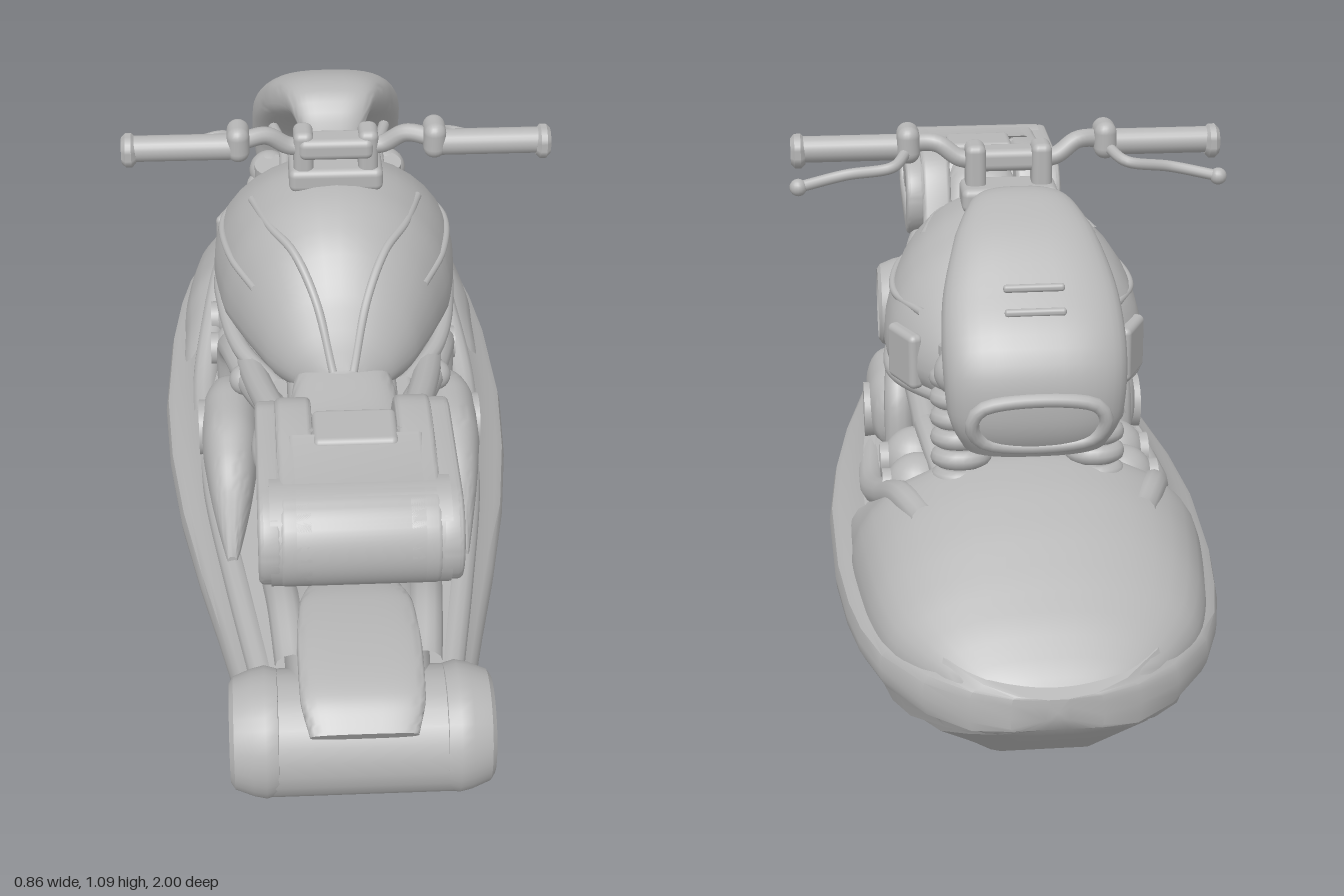
import * as THREE from 'three';
import { toCreasedNormals } from 'three/addons/utils/BufferGeometryUtils.js';
import { RoundedBoxGeometry } from 'three/addons/geometries/RoundedBoxGeometry.js';

const V = (x, y, z) => new THREE.Vector3(x, y, z);
const grey = new THREE.MeshStandardMaterial({ color: 0xb6b6b6 });
grey.name = 'plain grey';

// Skin a list of equal rings, close both ends, and keep sharp edges
function loft(rings, crease = 0.6) {
  const n = rings[0].length, pos = [], idx = [];
  rings.forEach(r => r.forEach(p => pos.push(p.x, p.y, p.z)));
  for (let i = 0; i < rings.length - 1; i++) for (let j = 0; j < n; j++) {
    const a = i * n + j, b = i * n + (j + 1) % n;
    idx.push(a, b, b + n, a, b + n, a + n);
  }
  [0, rings.length - 1].forEach((k, end) => {
    const c = rings[k].reduce((s, p) => s.add(p), V(0, 0, 0)).divideScalar(n);
    const m = pos.length / 3;
    pos.push(c.x, c.y, c.z);
    for (let j = 0; j < n; j++) {
      const a = k * n + j, b = k * n + (j + 1) % n;
      if (end) idx.push(m, a, b); else idx.push(m, b, a);
    }
  });
  // Turn the faces outward if the signed volume is negative
  let vol = 0;
  const at = i => V(pos[i * 3], pos[i * 3 + 1], pos[i * 3 + 2]);
  for (let i = 0; i < idx.length; i += 3) vol += at(idx[i]).dot(at(idx[i + 1]).cross(at(idx[i + 2])));
  if (vol < 0) idx.reverse();
  const g = new THREE.BufferGeometry();
  g.setAttribute('position', new THREE.Float32BufferAttribute(pos, 3));
  g.setIndex(idx);
  return toCreasedNormals(g, crease);
}

// Rounded body along rows of [z, y, half width, height above, height below (same if left out)]
function sweep(rows, { power = 2, upright = true, x = 0, n = 36, seg = 36 } = {}) {
  const path = new THREE.CatmullRomCurve3(rows.map(r => V(x, r[1], r[0])));
  const size = new THREE.CatmullRomCurve3(rows.map(r => V(r[2], r[3], r[4] ?? r[3])));
  const round = v => Math.sign(v) * Math.abs(v) ** (2 / power);
  const rings = [];
  for (let i = 0; i <= n; i++) {
    const p = path.getPoint(i / n), s = size.getPoint(i / n), t = path.getTangent(i / n);
    const up = upright ? V(0, 1, 0) : V(0, t.z, -t.y);
    rings.push(Array.from({ length: seg }, (_, j) => {
      const a = j / seg * Math.PI * 2, q = Math.sin(a);
      return p.clone().addScaledVector(up, round(q) * (q > 0 ? s.y : s.z)).add(V(round(Math.cos(a)) * s.x, 0, 0));
    }));
  }
  return loft(rings, 0.9);
}

const tube = (pts, r, closed = false) =>
  new THREE.TubeGeometry(new THREE.CatmullRomCurve3(pts.map(p => V(...p)), closed), 32, r, 12, closed);

// Lathe turned round the x axis; profile of [radius, x]
const latheX = (profile, seg = 32) => toCreasedNormals(
  new THREE.LatheGeometry(profile.map(p => new THREE.Vector2(...p)), seg).rotateZ(-Math.PI / 2), 0.6);

// Profile drawn in (z, y), extruded from x0 to x1
function slab(shape, x0, x1, bevel = 0.01) {
  const g = new THREE.ExtrudeGeometry(shape, {
    depth: x1 - x0 - 2 * bevel, bevelSize: bevel, bevelThickness: bevel, bevelSegments: 3, curveSegments: 16
  });
  return toCreasedNormals(g.rotateY(-Math.PI / 2).translate(x1 - bevel, 0, 0), 0.7);
}

function stadium(z0, z1, y0, y1, Type = THREE.Shape) {
  const r = (y1 - y0) / 2, y = (y0 + y1) / 2, s = new Type();
  s.absarc(z1 - r, y, r, -Math.PI / 2, Math.PI / 2, false);
  s.absarc(z0 + r, y, r, Math.PI / 2, Math.PI * 1.5, false);
  s.closePath();
  return s;
}

// Tail side profile, round at the back and sloping down to the seat at zFront
function tailProfile(zFront) {
  const s = new THREE.Shape();
  s.moveTo(0.785, 0.665);
  s.absarc(0.785, 0.75, 0.085, -Math.PI / 2, Math.PI / 2, false);
  s.bezierCurveTo(0.7, 0.835, 0.64, 0.85, zFront + 0.13, 0.848);
  s.bezierCurveTo(zFront + 0.06, 0.84, zFront + 0.04, 0.75, zFront, 0.67);
  s.lineTo(zFront + 0.07, 0.65);
  s.closePath();
  return s;
}

export function createModel() {
  const model = new THREE.Group();
  const add = (name, geo, x = 0, y = 0, z = 0, parent = model) => {
    const m = new THREE.Mesh(geo, grey);
    m.name = name;
    m.position.set(x, y, z);
    parent.add(m);
    return m;
  };
  const box = (w, h, d, r = 0.015) => new RoundedBoxGeometry(w, h, d, 3, r);
  const cyl = (r, h, r2 = r) => new THREE.CylinderGeometry(r, r2, h, 24);

  // Hull: stepped planing bottom, bumper rim and deck edge; rows of [z, half width, keel height]
  const hullRows = [[-1, 0.02, 0.3], [-0.99, 0.08, 0.275], [-0.96, 0.15, 0.245], [-0.9, 0.225, 0.195], [-0.8, 0.295, 0.115],
    [-0.7, 0.33, 0.055], [-0.6, 0.35, 0.02], [-0.45, 0.367, 0.003], [-0.2, 0.375, 0.015], [0, 0.362, 0.035],
    [0.2, 0.335, 0.05], [0.4, 0.295, 0.067], [0.56, 0.258, 0.085], [0.68, 0.232, 0.13], [0.78, 0.21, 0.2], [0.84, 0.2, 0.245]];
  add('hull', loft(hullRows.map(([z, w, k]) => {
    const h = 0.265 - k, bow = THREE.MathUtils.clamp((z + 1) / 0.15, 0, 1);
    const half = [[0.27, k], [0.64, k + h * 0.33], [0.67, k + h * 0.48], [0.82, k + h * 0.56],
      [0.9, 0.262], [0.965, 0.262], [0.995, 0.28], [1, 0.3], [0.985, 0.325], [0.95, 0.338],
      [0.9, 0.34 + 0.01 * bow], [0.82, 0.34 + 0.045 * bow], [0.7, 0.34 + 0.05 * bow]];
    const right = half.map(([f, y]) => V(f * w, Math.max(y, k), z));
    return right.concat(right.map(p => V(-p.x, p.y, z)).reverse());
  }), 0.5));
  add('bowDeck', sweep([[-0.99, 0.325, 0.05, 0.01], [-0.95, 0.33, 0.15, 0.04], [-0.88, 0.33, 0.225, 0.09], [-0.8, 0.33, 0.28, 0.135],
    [-0.7, 0.33, 0.31, 0.185], [-0.6, 0.33, 0.325, 0.222], [-0.5, 0.33, 0.335, 0.238], [-0.42, 0.33, 0.335, 0.2], [-0.3, 0.33, 0.335, 0.11],
    [-0.15, 0.33, 0.32, 0.06]], { power: 2.2 }));
  for (const s of [-1, 1]) {
    add('deckShoulder', tube([[s * 0.2, 0.49, -0.6], [s * 0.235, 0.49, -0.5], [s * 0.265, 0.43, -0.36], [s * 0.285, 0.375, -0.2], [s * 0.28, 0.36, 0]], 0.028));
    add('deckRail', tube([[s * 0.28, 0.36, -0.1], [s * 0.26, 0.37, 0.2], [s * 0.215, 0.37, 0.5], [s * 0.17, 0.365, 0.76]], 0.026));
  }

  // Engine and frame under the tank
  add('engineBlock', box(0.3, 0.24, 0.62), 0, 0.47, -0.1);
  add('crankcase', box(0.37, 0.13, 0.34, 0.03), 0, 0.43, -0.24);
  add('rearEngine', box(0.2, 0.18, 0.32), 0, 0.46, 0.27);
  add('frameSpine', box(0.22, 0.1, 0.5, 0.03), 0, 0.6, 0.12);
  for (const s of [-1, 1]) {
    add('sideCover', sweep([[-0.06, 0.44, 0.01, 0.02], [-0.03, 0.445, 0.045, 0.065], [0.05, 0.445, 0.06, 0.088], [0.15, 0.445, 0.058, 0.088],
      [0.23, 0.43, 0.048, 0.072], [0.3, 0.41, 0.036, 0.048], [0.44, 0.39, 0.01, 0.015]], { x: s * 0.228, power: 2.3 }));
    add('coverDisc', cyl(0.058, 0.02).rotateZ(Math.PI / 2), s * 0.284, 0.435, 0.05);
    for (const z of [-0.23, -0.355]) {
      add('cylinderHead', new THREE.SphereGeometry(0.064, 24, 16), s * 0.2, 0.445, z);
      add('cylinderCap', cyl(0.035, 0.02).rotateZ(Math.PI / 2), s * 0.26, 0.445, z);
    }
    add('headPipe', tube([[s * 0.12, 0.63, 0.3], [s * 0.18, 0.595, 0.12], [s * 0.215, 0.58, -0.02], [s * 0.225, 0.53, -0.1], [s * 0.225, 0.38, -0.12]], 0.03));
    add('upperRail', tube([[s * 0.1, 0.67, 0.42], [s * 0.15, 0.64, 0.25], [s * 0.19, 0.6, 0], [s * 0.18, 0.57, -0.36]], 0.028));
    add('coolantPipe', tube([[s * 0.17, 0.47, -0.1], [s * 0.18, 0.52, -0.2], [s * 0.17, 0.52, -0.32], [s * 0.15, 0.48, -0.42]], 0.024));
    add('pegKnob', new THREE.SphereGeometry(0.032, 20, 14), s * 0.195, 0.59, 0.1);
    add('seatStrut', tube([[s * 0.1, 0.62, 0.55], [s * 0.13, 0.56, 0.38], [s * 0.14, 0.48, 0.2]], 0.028));
  }

  // Fuel tank with converging ribs, side seams and lower trim
  add('tank', sweep([[0.235, 0.66, 0.03, 0.02, 0.03], [0.2, 0.67, 0.1, 0.075, 0.06], [0.15, 0.68, 0.15, 0.14, 0.09], [0.07, 0.69, 0.195, 0.208, 0.1],
    [-0.03, 0.69, 0.235, 0.256, 0.11], [-0.14, 0.69, 0.252, 0.262, 0.11], [-0.24, 0.69, 0.252, 0.232, 0.11], [-0.32, 0.69, 0.222, 0.175, 0.1],
    [-0.39, 0.69, 0.17, 0.115, 0.09], [-0.43, 0.68, 0.07, 0.05, 0.05]], { power: 2.05 }));
  for (const s of [-1, 1]) {
    add('tankRib', tube([[s * 0.17, 0.88, -0.13], [s * 0.135, 0.885, -0.01], [s * 0.09, 0.872, 0.07], [s * 0.05, 0.808, 0.15], [s * 0.02, 0.69, 0.225]], 0.009));
    add('tankSeam', tube([[s * 0.17, 0.79, 0.07], [s * 0.218, 0.795, -0.05], [s * 0.232, 0.79, -0.2], [s * 0.185, 0.79, -0.32]], 0.008));
    add('tankBelt', tube([[s * 0.13, 0.62, 0.17], [s * 0.2, 0.63, 0.05], [s * 0.232, 0.64, -0.1], [s * 0.232, 0.64, -0.25], [s * 0.14, 0.64, -0.39]], 0.018));
    add('tankSidePanel', box(0.03, 0.11, 0.1, 0.012), s * 0.218, 0.7, -0.31).rotation.y = s * 0.45;
  }

  // Seat dished between the tank and the tail
  add('seat', sweep([[0.14, 0.67, 0.08, 0.03], [0.22, 0.65, 0.1, 0.04], [0.35, 0.625, 0.115, 0.05], [0.44, 0.64, 0.11, 0.055],
    [0.51, 0.7, 0.095, 0.055], [0.56, 0.77, 0.08, 0.05], [0.6, 0.82, 0.06, 0.02]], { power: 2.6, upright: false }));
  const under = new THREE.Shape();
  [[0.68, 0.64], [0.62, 0.555], [0.35, 0.525], [0.25, 0.6], [0.42, 0.67]].forEach((p, i) => i ? under.lineTo(...p) : under.moveTo(...p));
  under.closePath();
  add('underTray', slab(under, -0.12, 0.12));

  // Tail unit: rounded body notched for the seat, cross barrel, grilles and side frames
  add('tailBody', slab(tailProfile(0.52), -0.12, 0.12));
  add('tailBarrel', cyl(0.096, 0.31).rotateZ(Math.PI / 2), 0, 0.75, 0.782);
  add('tailCrest', box(0.15, 0.025, 0.1, 0.012), 0, 0.849, 0.63);
  for (const s of [-1, 1]) {
    add('tailCheek', slab(tailProfile(0.43), s > 0 ? 0.075 : -0.14, s > 0 ? 0.14 : -0.075));
    const frame = stadium(0.475, 0.868, 0.672, 0.832);
    frame.holes.push(stadium(0.515, 0.84, 0.702, 0.802, THREE.Path));
    add('tailFrame', slab(frame, -0.022, 0.022), s * 0.154).rotation.y = 0;
    for (let i = 0; i < 7; i++) add('grilleBar', box(0.03, 0.1, 0.012, 0.005), s * 0.145, 0.752, 0.53 + i * 0.027).rotation.x = 0.15;
    add('tailLamp', cyl(0.055, 0.03).rotateZ(Math.PI / 2), s * 0.153, 0.752, 0.785);
    add('tailArm', tube([[s * 0.13, 0.67, 0.55], [s * 0.155, 0.65, 0.42], [s * 0.14, 0.635, 0.3]], 0.03));
  }

  // Stern drum with a finned jet at each end
  add('drum', cyl(0.114, 0.33).rotateZ(Math.PI / 2), 0, 0.36, 0.878);
  for (const s of [-1, 1]) {
    const jet = new THREE.Group();
    jet.name = 'sternJet';
    jet.position.set(s * 0.16, 0.365, 0.88);
    if (s < 0) jet.rotation.y = Math.PI;
    model.add(jet);
    add('jetRim', latheX([[0.08, -0.02], [0.112, -0.01], [0.118, 0.012], [0.113, 0.035], [0.1, 0.068], [0.088, 0.076], [0.078, 0.068], [0.07, 0.03], [0, 0.03]]), 0, 0, 0, jet);
    add('jetHub', latheX([[0.03, 0.02], [0.028, 0.055], [0.015, 0.068], [0, 0.07]], 20), 0, 0, 0, jet);
    for (let i = 0; i < 12; i++) {
      const a = i / 12 * Math.PI * 2;
      add('jetFin', new THREE.BoxGeometry(0.025, 0.06, 0.01), 0.045, Math.cos(a) * 0.05, Math.sin(a) * 0.05, jet).rotation.x = a;
    }
    add('fenderArm', tube([[s * 0.12, 0.45, 0.8], [s * 0.13, 0.475, 0.68], [s * 0.14, 0.44, 0.55], [s * 0.14, 0.38, 0.43]], 0.032));
  }
  add('rearFender', sweep([[0.42, 0.36, 0.1, 0.02], [0.5, 0.38, 0.12, 0.06], [0.6, 0.4, 0.13, 0.09], [0.7, 0.41, 0.135, 0.1],
    [0.82, 0.41, 0.13, 0.1], [0.92, 0.4, 0.12, 0.085]], { power: 3 }));
  add('fenderCap', sweep([[0.62, 0.485, 0.08, 0.015], [0.7, 0.5, 0.105, 0.02], [0.82, 0.504, 0.112, 0.02], [0.93, 0.485, 0.11, 0.022],
    [0.985, 0.45, 0.095, 0.018]], { power: 3, upright: false }));

  // Front cowl with a lamp slot and two vents
  add('cowl', sweep([[-0.25, 0.925, 0.05, 0.015], [-0.32, 0.995, 0.09, 0.04], [-0.42, 0.965, 0.13, 0.055], [-0.53, 0.885, 0.16, 0.06],
    [-0.61, 0.79, 0.165, 0.075], [-0.62, 0.71, 0.158, 0.07], [-0.605, 0.645, 0.13, 0.05]], { power: 2.7, upright: false }));
  add('lampSlotRim', tube([[-0.1, 0.745, -0.688], [0.1, 0.745, -0.688], [0.12, 0.71, -0.682], [0.095, 0.67, -0.667], [-0.095, 0.67, -0.667], [-0.12, 0.71, -0.682]], 0.013, true));
  for (const [y, z] of [[0.93, -0.585], [0.895, -0.615]]) add('cowlVent', box(0.11, 0.014, 0.014, 0.006), 0, y, z);
  add('cowlMount', box(0.18, 0.13, 0.2, 0.03), 0, 0.75, -0.47);

  // Ribbed fork springs
  for (const s of [-1, 1]) {
    const fork = new THREE.Group();
    fork.name = 'forkSpring';
    fork.position.set(s * 0.125, 0.5, -0.5);
    fork.rotation.x = 0.15;
    model.add(fork);
    add('forkTube', cyl(0.038, 0.32), 0, 0.12, 0, fork);
    for (let i = 0; i < 6; i++) add('springCoil', new THREE.TorusGeometry(0.04, 0.018, 10, 24).rotateX(Math.PI / 2), 0, 0.03 + i * 0.038, 0, fork);
    add('forkJoint', new THREE.SphereGeometry(0.045, 20, 14), s * 0.13, 0.74, -0.5);
    add('frameBrace', tube([[s * 0.12, 0.89, -0.42], [s * 0.1, 0.89, -0.32], [s * 0.1, 0.88, -0.22]], 0.012));
  }

  // Handlebar, grips and levers
  add('barClamp', box(0.15, 0.045, 0.06), 0, 1.025, -0.09);
  add('clampBase', box(0.19, 0.05, 0.1), 0, 0.955, -0.11);
  for (const s of [-1, 1]) {
    add('barRiser', box(0.04, 0.12, 0.065), s * 0.065, 1.0, -0.1);
    add('bar', tube([[0, 1.03, -0.09], [s * 0.09, 1.025, -0.09], [s * 0.14, 1.055, -0.08], [s * 0.2, 1.05, -0.062], [s * 0.26, 1.045, -0.06]], 0.018));
    add('switchHousing', box(0.045, 0.075, 0.075, 0.025), s * 0.195, 1.053, -0.066);
    add('grip', cyl(0.026, 0.22).rotateZ(Math.PI / 2), s * 0.3, 1.043, -0.06);
    add('gripEnd', latheX([[0, -0.014], [0.026, -0.014], [0.034, -0.006], [0.034, 0.006], [0.026, 0.014], [0, 0.014]], 24), s * 0.412, 1.04, -0.06);
    add('lever', tube([[s * 0.2, 1.04, -0.09], [s * 0.23, 1.025, -0.14], [s * 0.32, 1.008, -0.125], [s * 0.415, 0.99, -0.14]], 0.011));
    add('leverTip', new THREE.SphereGeometry(0.017, 16, 12), s * 0.413, 0.99, -0.14);
  }
  return model;
}
